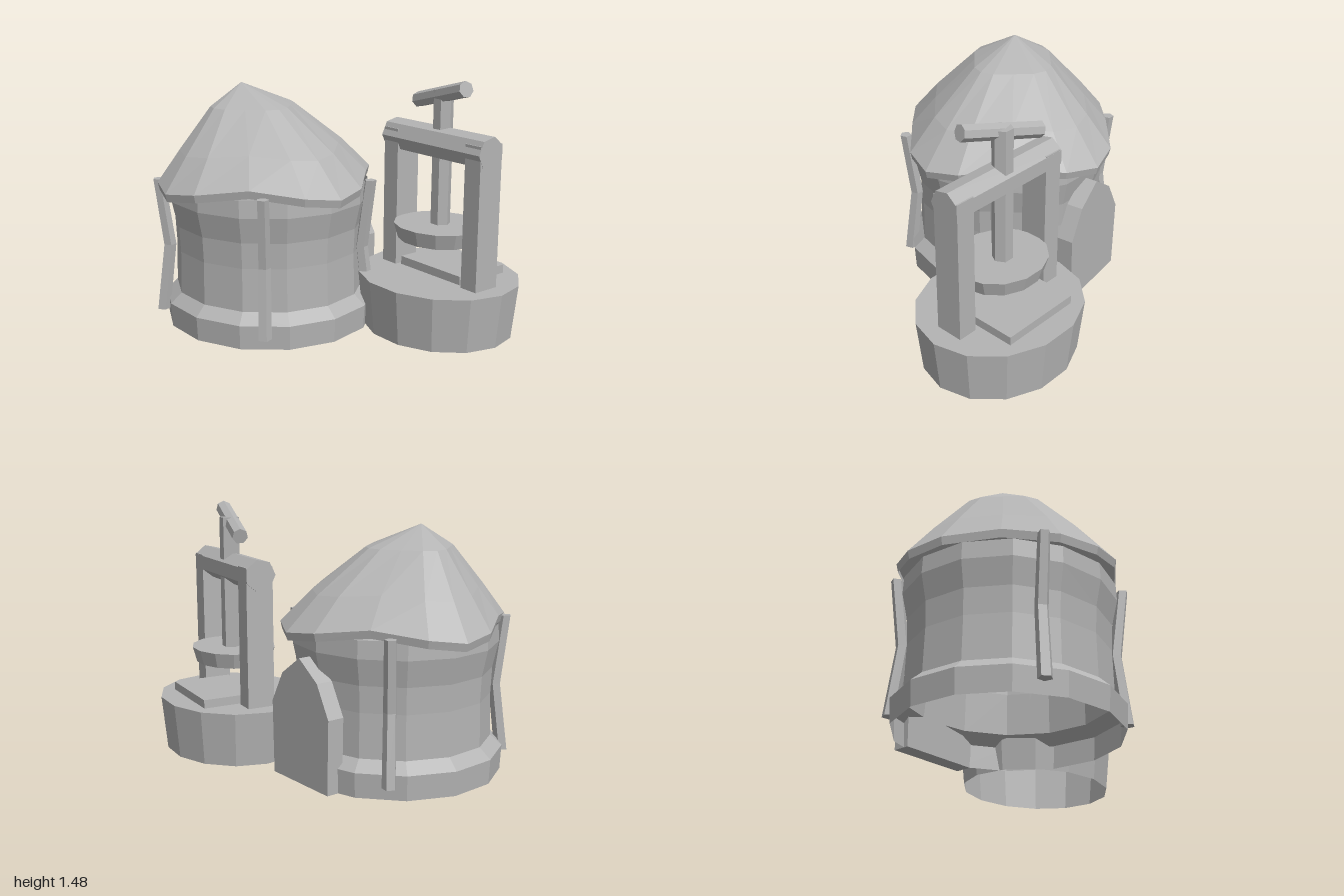
import * as THREE from 'three';

const stone = new THREE.MeshStandardMaterial({ color: 0xb4b4b4, flatShading: true, side: THREE.DoubleSide });
stone.name = 'plain grey';

function add(parent, name, geometry, x = 0, y = 0, z = 0) {
  const mesh = new THREE.Mesh(geometry, stone);
  mesh.name = name;
  mesh.position.set(x, y, z);
  parent.add(mesh);
  return mesh;
}

// Fourteen-sided turned part, slightly narrower along z
function turned(profile, squash) {
  const pts = profile.map(([r, y]) => new THREE.Vector2(r, y));
  return new THREE.LatheGeometry(pts, 14, Math.PI / 2).scale(1, 1, squash);
}

// Drooping thatch: sixteen-point rings that rise at the four diagonals
function roofGeometry() {
  const radii = [0.705, 0.67, 0.597, 0.67], lift = [0, 0.4, 1, 0.4];
  const offset = [0, 0.305, Math.PI / 4, Math.PI / 2 - 0.305];
  // [centre x, centre z, scale, height, lift at the diagonals]
  const rings = [
    [-0.295, 0.198, 0.985, 0.8, 0.06],
    [-0.295, 0.198, 1, 0.845, 0.06],
    [-0.315, 0.213, 0.76, 1.035, 0.03],
    [-0.37, 0.245, 0.385, 1.28, 0],
    [-0.43, 0.28, 0, 1.405, 0],
  ];
  const pos = [], index = [];
  for (const [cx, cz, s, y, wave] of rings) {
    for (let k = 0; k < 16; k++) {
      const m = k % 4, a = Math.floor(k / 4) * Math.PI / 2 + offset[m], r = radii[m] * s;
      pos.push(cx + r * Math.cos(a), y + wave * lift[m], cz + r * Math.sin(a) * 0.977);
    }
  }
  for (let j = 0; j < rings.length - 1; j++) {
    for (let k = 0; k < 16; k++) {
      const a = j * 16 + k, b = j * 16 + (k + 1) % 16;
      index.push(a, a + 16, b);
      if (j < rings.length - 2) index.push(b, a + 16, b + 16);
    }
  }
  const g = new THREE.BufferGeometry();
  g.setAttribute('position', new THREE.Float32BufferAttribute(pos, 3));
  g.setIndex(index);
  g.computeVertexNormals();
  return g;
}

// Crooked pole, bent towards the wall at mid height
function poleGeometry(dx, dz) {
  const g = new THREE.CylinderGeometry(0.035, 0.04, 0.8, 5, 2);
  const p = g.attributes.position;
  for (let i = 0; i < p.count; i++) {
    if (Math.abs(p.getY(i)) < 0.1) {
      p.setX(i, p.getX(i) - dx * 0.05);
      p.setZ(i, p.getZ(i) - dz * 0.05);
    }
  }
  return g;
}

// Round bar between two points
function bar(parent, name, from, to, radius, sides) {
  const a = new THREE.Vector3(...from), b = new THREE.Vector3(...to);
  const dir = b.clone().sub(a);
  const mesh = add(parent, name, new THREE.CylinderGeometry(radius, radius, dir.length(), sides));
  mesh.position.copy(a).add(b).multiplyScalar(0.5);
  mesh.quaternion.setFromUnitVectors(new THREE.Vector3(0, 1, 0), dir.normalize());
  return mesh;
}

function createHut() {
  const hut = new THREE.Group();
  hut.name = 'hut';
  const cx = -0.293, cz = 0.193;

  add(hut, 'wall', turned([
    [0.637, 0], [0.645, 0.14], [0.577, 0.2], [0.57, 0.45], [0.577, 0.6], [0.61, 0.75], [0.605, 0.85],
  ], 0.965), cx, 0, cz);
  add(hut, 'roof', roofGeometry());

  // Four poles holding up the eaves
  for (const [x, z] of [[0.21, 0.58], [0.22, -0.17], [-0.57, 0.775], [-0.82, -0.155]]) {
    const out = new THREE.Vector2(x - cx, z - cz).normalize();
    add(hut, 'pole', poleGeometry(out.x, out.y), x, 0.47, z);
  }

  // Pointed door on the back
  const arch = [[-0.25, 0], [0.25, 0], [0.26, 0.42], [0.16, 0.6], [0, 0.71], [-0.16, 0.6], [-0.26, 0.42]];
  const shape = new THREE.Shape(arch.map(([x, y]) => new THREE.Vector2(x, y)));
  const door = add(hut, 'door', new THREE.ExtrudeGeometry(shape, { depth: 0.1, bevelEnabled: false }), -0.34, 0, -0.345);
  door.rotation.y = Math.PI + 0.15;
  return hut;
}

function createPress() {
  const press = new THREE.Group();
  press.name = 'press';
  const cx = 0.495, cz = -0.463;

  add(press, 'pressBase', turned([[0.47, 0], [0.505, 0.32], [0, 0.32]], 0.875), cx, 0, cz);
  add(press, 'slab', new THREE.BoxGeometry(0.49, 0.05, 0.36), 0.49, 0.345, -0.58);

  // Posts run up into the cross beam
  for (const side of [-1, 1]) {
    add(press, 'post', new THREE.BoxGeometry(0.115, 0.825, 0.165), cx + side * 0.33, 0.7325, -0.458);
  }
  const beam = add(press, 'crossBeam', new THREE.CylinderGeometry(0.095, 0.095, 0.785, 7), 0.492, 1.097, -0.455);
  beam.rotation.z = Math.PI / 2;

  // Screw, pressing plate and turning handle
  add(press, 'screw', new THREE.CylinderGeometry(0.058, 0.058, 0.82, 6), 0.49, 0.99, -0.475).rotation.y = Math.PI / 6;
  add(press, 'pressingPlate', turned([[0, 0.53], [0.25, 0.53], [0.278, 0.62], [0, 0.62]], 0.89), 0.49, 0, cz);
  bar(press, 'handle', [0.245, 1.31, -0.512], [0.725, 1.433, -0.41], 0.046, 7);
  return press;
}

export function createModel() {
  const model = new THREE.Group();
  model.name = 'hutWithPress';
  model.add(createHut(), createPress());
  return model;
}
